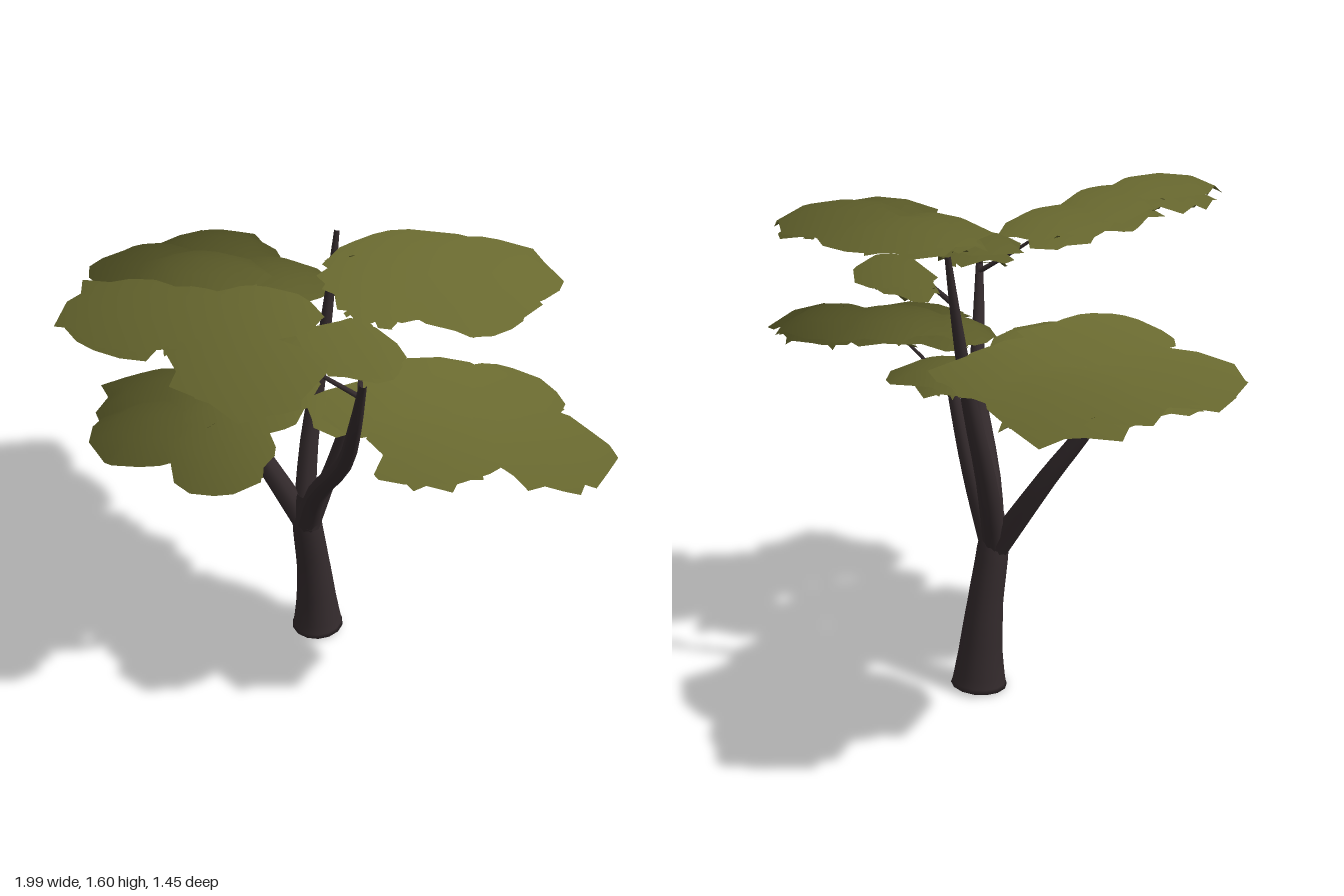
import * as THREE from 'three';

const bark = new THREE.MeshStandardMaterial({ color: 0x332a2c });
bark.name = 'darkBark';
const leaf = new THREE.MeshStandardMaterial({ color: 0x68682f, side: THREE.DoubleSide });
leaf.name = 'oliveLeaf';

let seed = 7;
const rand = (a, b) => {
  seed = (seed * 16807) % 2147483647;
  return a + (b - a) * (seed / 2147483647);
};

// Tapered limb: points are [x, y, z, radius], rings are blended along a smooth curve
function limb(name, points, steps = 12, sides = 10) {
  const curve = new THREE.CatmullRomCurve3(points.map(p => new THREE.Vector3(p[0], p[1], p[2])));
  const geo = new THREE.TubeGeometry(curve, steps, 1, sides, false);
  const pos = geo.attributes.position;
  const v = new THREE.Vector3();
  for (let i = 0; i <= steps; i++) {
    const f = (i / steps) * (points.length - 1);
    const k = Math.min(Math.floor(f), points.length - 2);
    const r = THREE.MathUtils.lerp(points[k][3], points[k + 1][3], f - k);
    const c = curve.getPoint(i / steps);
    const cu = curve.getPointAt(i / steps);
    for (let j = 0; j <= sides; j++) {
      const n = i * (sides + 1) + j;
      v.fromBufferAttribute(pos, n).sub(cu).multiplyScalar(r).add(c);
      pos.setXYZ(n, v.x, v.y, v.z);
    }
  }
  geo.computeVertexNormals();
  const mesh = new THREE.Mesh(geo, bark);
  mesh.name = name;
  return mesh;
}

// Shallow jagged dome: centre point, a middle ring and a ragged outer ring
function addPlate(out, [cx, cy, cz, rx, rz, sx = 0, sz = 0]) {
  const n = 16;
  const base = out.pos.length / 3;
  const put = (dx, dz, lift) => out.pos.push(cx + dx, cy + sx * dx + sz * dz + lift, cz + dz);
  put(0, 0, 0.035);
  for (const ring of [0.55, 1]) {
    for (let i = 0; i < n; i++) {
      const a = ((i + rand(-0.3, 0.3)) / n) * Math.PI * 2;
      const r = ring === 1 ? rand(0.85, 1.14) : ring;
      put(Math.cos(a) * rx * r, Math.sin(a) * rz * r, ring === 1 ? rand(-0.045, -0.01) : 0.018);
    }
  }
  for (let i = 0; i < n; i++) {
    const a = base + 1 + i, b = base + 1 + (i + 1) % n;
    out.index.push(base, b, a, a, b, b + n, a, b + n, a + n);
  }
}

// Small loose leaf hanging under the middle of a plate
function addScrap(out, [cx, cy, cz, rx, rz, sx = 0, sz = 0]) {
  const a = rand(0, Math.PI * 2), r = Math.sqrt(rand(0, 0.6));
  const dx = Math.cos(a) * r * rx, dz = Math.sin(a) * r * rz;
  const base = out.pos.length / 3;
  const size = rand(0.015, 0.034), turn = rand(0, 6.28);
  const tx = rand(-0.9, 0.9), tz = rand(-0.9, 0.9);
  const y = cy + sx * dx + sz * dz - rand(-0.02, 0.04);
  for (let i = 0; i < 4; i++) {
    const t = turn + i * Math.PI / 2;
    const s = size * rand(0.7, 1.2);
    const ux = Math.cos(t) * s, uz = Math.sin(t) * s;
    out.pos.push(cx + dx + ux, y + tx * ux + tz * uz, cz + dz + uz);
  }
  out.index.push(base, base + 2, base + 1, base, base + 3, base + 2);
}

function canopy(name, plates) {
  const out = { pos: [], index: [] };
  for (const p of plates) {
    const [x, y, z, rx, rz, sx, sz] = p;
    // A smaller ragged layer sits just below each plate
    const lower = [x + rand(-0.04, 0.04), y - rand(0.02, 0.04), z + rand(-0.04, 0.04), rx * 0.8, rz * 0.8, sx, sz];
    addPlate(out, p);
    addPlate(out, lower);
    for (let i = 0; i < 22; i++) addScrap(out, lower);
  }
  const geo = new THREE.BufferGeometry();
  geo.setAttribute('position', new THREE.Float32BufferAttribute(out.pos, 3));
  geo.setIndex(out.index);
  // Normals fan out from the fork so the whole crown shades as one soft mass
  const normals = [];
  const fork = new THREE.Vector3(0, 0.5, -0.2);
  const v = new THREE.Vector3();
  for (let i = 0; i < out.pos.length; i += 3) {
    v.fromArray(out.pos, i).sub(fork).normalize();
    normals.push(v.x, v.y, v.z);
  }
  geo.setAttribute('normal', new THREE.Float32BufferAttribute(normals, 3));
  const mesh = new THREE.Mesh(geo, leaf);
  mesh.name = name;
  return mesh;
}

export function createModel() {
  const tree = new THREE.Group();
  tree.name = 'tree';

  // Trunk, closed below and flared at the foot
  tree.add(limb('trunk', [
    [-0.002, 0.009, -0.26, 0], [-0.0022, 0.01, -0.26, 0.092], [-0.006, 0.12, -0.254, 0.073],
    [-0.01, 0.3, -0.235, 0.058], [-0.01, 0.48, -0.205, 0.051], [-0.005, 0.6, -0.195, 0.03],
  ], 20, 14));

  // Main branches from the fork
  const branches = {
    branchFrontLeft: [[0, 0.48, -0.2, 0.042], [0.1, 0.67, -0.15, 0.034], [0.31, 0.92, -0.08, 0.027], [0.44, 1.14, 0, 0.02], [0.52, 1.33, 0.05, 0.011]],
    branchBack: [[-0.02, 0.48, -0.2, 0.04], [-0.08, 0.74, -0.265, 0.032], [-0.115, 1, -0.335, 0.024], [-0.13, 1.25, -0.38, 0.016], [-0.14, 1.45, -0.41, 0.009]],
    branchLeft: [[0.01, 0.48, -0.2, 0.038], [0.07, 0.72, -0.24, 0.027], [0.13, 0.95, -0.26, 0.019], [0.15, 1.02, -0.265, 0.011]],
    branchRight: [[-0.02, 0.48, -0.2, 0.042], [-0.17, 0.74, -0.1, 0.032], [-0.28, 0.95, 0, 0.024], [-0.37, 1.22, 0.08, 0.011]],
  };
  for (const [name, pts] of Object.entries(branches)) tree.add(limb(name, pts));

  // Thin twigs reaching into the foliage
  const twigs = [
    [[0.49, 1.27, 0.03], [0.4, 1.35, 0.13], [0.3, 1.46, 0.26]],
    [[0.5, 1.3, 0.04], [0.46, 1.34, 0.01], [0.42, 1.37, -0.02]],
    [[-0.13, 1.31, -0.39], [0, 1.37, -0.42], [0.2, 1.48, -0.42]],
    [[0.13, 0.96, -0.26], [0.28, 1.06, -0.3], [0.46, 1.14, -0.34]],
    [[0.12, 0.93, -0.26], [0.24, 1.02, -0.19], [0.35, 1.12, -0.12]],
    [[-0.28, 0.96, 0], [-0.2, 0.99, 0.12], [-0.08, 1.03, 0.25]],
    [[-0.34, 1.13, 0.05], [-0.23, 1.08, -0.06], [-0.16, 1.14, -0.16]],
    [[-0.35, 1.16, 0.06], [-0.45, 1.18, -0.08], [-0.58, 1.2, -0.2]],
  ];
  for (const t of twigs) tree.add(limb('twig', t.map((p, i) => [...p, 0.009 - i * 0.003]), 6, 6));

  // Foliage tiers: plates are [x, y, z, radiusX, radiusZ, slopeX, slopeZ]
  tree.add(canopy('canopyRight', [
    [-0.75, 1.2, -0.38, 0.23, 0.22, 0.04, 0.06], [-0.74, 1.22, -0.1, 0.23, 0.21, 0.06, 0],
    [-0.44, 1.2, -0.38, 0.23, 0.23, 0.02, 0.1], [-0.5, 1.27, -0.13, 0.22, 0.21, 0.06, 0.05],
    [-0.33, 1.2, -0.23, 0.21, 0.21, -0.1, 0], [-0.17, 1.15, -0.15, 0.18, 0.18, -0.15, 0],
  ]));
  tree.add(canopy('canopyLeft', [
    [0.79, 1.12, -0.42, 0.2, 0.19, -0.15, 0], [0.62, 1.13, -0.17, 0.18, 0.2, -0.1, -0.05],
    [0.42, 1.16, -0.33, 0.24, 0.23], [0.35, 1.13, -0.15, 0.18, 0.14, 0, -0.1],
    [0.54, 1.16, -0.49, 0.21, 0.17, 0, 0.1], [0.19, 1.03, -0.26, 0.16, 0.18, 0.05, 0],
  ]));
  tree.add(canopy('canopyFrontLow', [
    [-0.27, 1.02, 0.21, 0.2, 0.19, 0.08, -0.05], [-0.08, 1.03, 0.36, 0.2, 0.19, 0.05, -0.1],
    [0.1, 1.12, 0.14, 0.17, 0.17, 0, -0.1], [0.16, 1.05, 0.28, 0.18, 0.17, -0.1, -0.12],
    [-0.08, 1.08, 0.11, 0.2, 0.14, 0.1, 0], [0.06, 1.13, -0.01, 0.14, 0.13, 0, 0],
  ]));
  tree.add(canopy('canopyFrontHigh', [
    [0.15, 1.57, 0.53, 0.22, 0.21, -0.03, 0.03], [0.4, 1.46, 0.36, 0.21, 0.21, -0.08, 0.05],
    [0.2, 1.48, 0.16, 0.19, 0.19, 0, 0.12], [0.2, 1.53, 0.36, 0.22, 0.18, 0, 0.15],
    [0.39, 1.39, -0.02, 0.17, 0.15],
  ]));
  tree.add(canopy('canopyBackHigh', [
    [0.42, 1.52, -0.49, 0.24, 0.23, -0.03, 0.03], [0.16, 1.49, -0.4, 0.2, 0.24, 0.05, 0],
    [0.51, 1.51, -0.33, 0.19, 0.2, -0.03, 0], [0.27, 1.48, -0.24, 0.23, 0.15, 0, -0.05],
    [0.01, 1.41, -0.51, 0.14, 0.11, 0.08, 0],
  ]));
  return tree;
}
